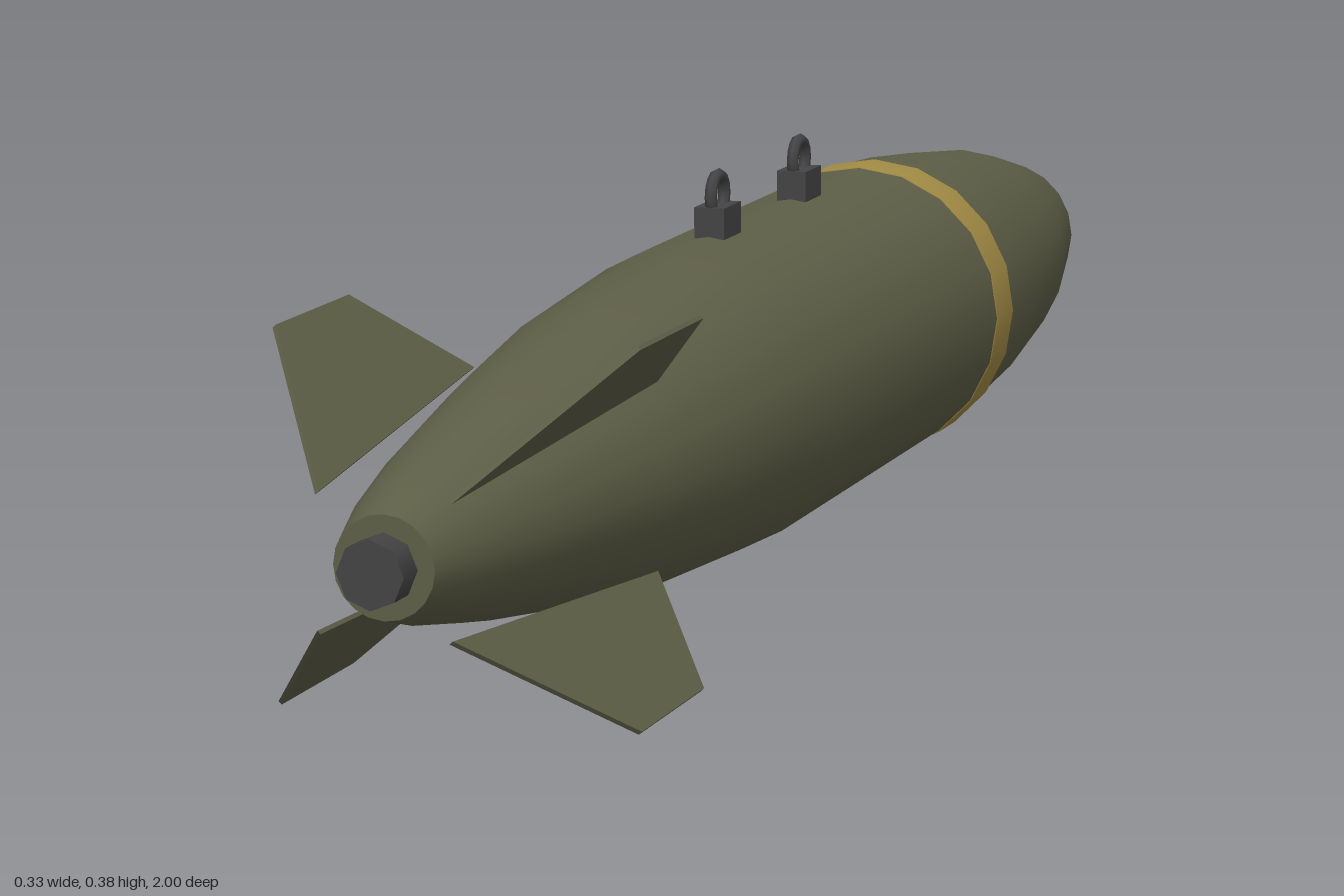
import * as THREE from 'three';

const AXIS_Y = 0.167;
const mat = (name, color) => Object.assign(new THREE.MeshStandardMaterial({ color }), { name });

export function createModel() {
  const olive = mat('olive', 0x5e5f47);
  const gold = mat('gold', 0xa38c45);
  const metal = mat('dark metal', 0x444444);

  const model = new THREE.Group();
  model.name = 'finnedBomb';
  // everything turned on the long axis lives in this group
  const round = new THREE.Group();
  round.name = 'airframe';
  round.position.y = AXIS_Y;
  model.add(round);

  const add = (parent, name, geometry, material) => {
    const mesh = new THREE.Mesh(geometry, material);
    mesh.name = name;
    parent.add(mesh);
    return mesh;
  };
  // profile points are [radius, z]
  const lathe = (points) =>
    new THREE.LatheGeometry(points.map(([r, z]) => new THREE.Vector2(r, z)), 20).rotateX(Math.PI / 2);

  // casing, nose at -z and tail at +z
  add(round, 'casing', lathe([
    [0.034, -0.95], [0.079, -0.87], [0.117, -0.7], [0.141, -0.5], [0.149, -0.37],
    [0.15, -0.32], [0.15, 0.2], [0.134, 0.45], [0.115, 0.6], [0.084, 0.8], [0.062, 0.91], [0.045, 0.97],
  ]), olive);
  add(round, 'tailCap', new THREE.CircleGeometry(0.045, 20).translate(0, 0, 0.97), olive);
  add(round, 'noseCap', new THREE.CircleGeometry(0.034, 20).rotateY(Math.PI).translate(0, 0, -0.95), olive);

  // painted band
  add(round, 'band', lathe([[0.149, -0.375], [0.1515, -0.375], [0.1515, -0.32], [0.149, -0.32]]), gold);

  // fuzes at both ends
  const fuze = (name, z0, z1) => {
    const g = new THREE.CylinderGeometry(0.03, 0.03, z1 - z0, 8).rotateX(Math.PI / 2);
    add(round, name, g.translate(0, 0, (z0 + z1) / 2), metal);
  };
  fuze('noseFuze', -1, -0.94);
  fuze('tailFuze', 0.96, 1);

  // four diagonal fins, outline drawn as (radius, z)
  const outline = new THREE.Shape(
    [[0.123, 0.55], [0.233, 0.65], [0.233, 0.81], [0.083, 0.97]].map(([r, z]) => new THREE.Vector2(r, z)));
  const finGeometry = new THREE.ExtrudeGeometry(outline, { depth: 0.004, bevelEnabled: false })
    .translate(0, 0, -0.002).rotateX(Math.PI / 2);
  for (let i = 0; i < 4; i++) {
    add(round, 'fin' + (i + 1), finGeometry, olive).rotation.z = Math.PI / 4 + (i * Math.PI) / 2;
  }

  // two suspension lugs: a block with a ring on top
  [['rearLug', 0.13], ['frontLug', -0.12]].forEach(([name, z]) => {
    const lug = new THREE.Group();
    lug.name = name;
    lug.position.z = z;
    add(lug, 'block', new THREE.BoxGeometry(0.03, 0.04, 0.05).translate(0, 0.325, 0), metal);
    add(lug, 'ring', new THREE.TorusGeometry(0.02, 0.006, 6, 14).rotateY(Math.PI / 2).translate(0, 0.354, 0), metal);
    model.add(lug);
  });

  return model;
}
